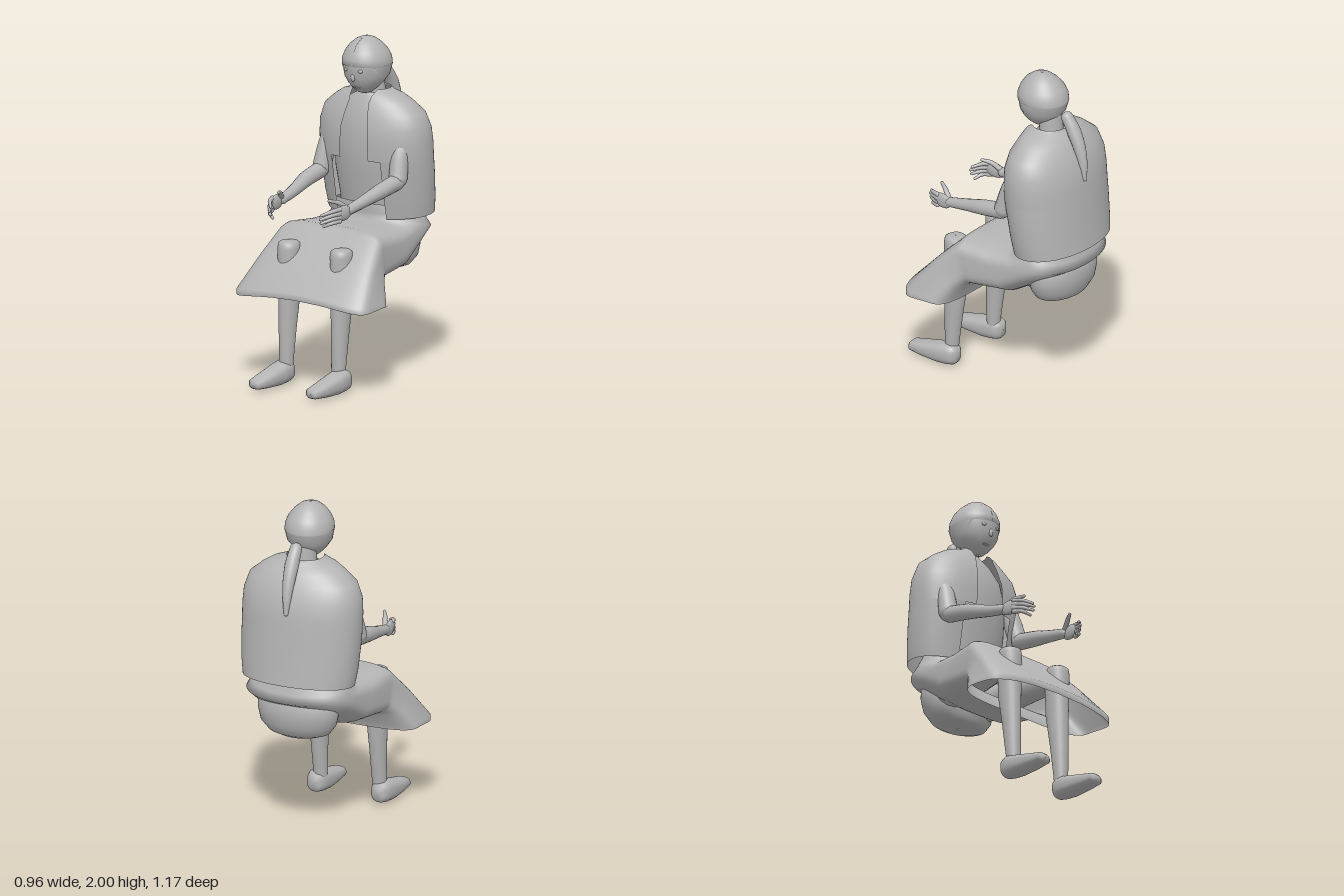
import * as THREE from 'three';

const clay = new THREE.MeshStandardMaterial({ color: 0xb4b4b4, side: THREE.DoubleSide });
clay.name = 'plain grey';

function add(parent, name, geometry) {
  const mesh = new THREE.Mesh(geometry, clay);
  mesh.name = name;
  parent.add(mesh);
  return mesh;
}

// Cross-section row: [front z, front y, back z, back y, half width, squareness, front gap]
function loft(rows, seg = 48) {
  const open = rows.some(r => r[6] > 0);
  const cols = open ? seg + 1 : seg;
  const pos = [], idx = [];
  for (const [zf, yf, zb, yb, w, n = 2, gap = 0] of rows) {
    const t0 = open ? Math.asin(Math.min(1, gap / w) ** (n / 2)) : 0;
    for (let j = 0; j < cols; j++) {
      const t = t0 + (2 * Math.PI - 2 * t0) * j / seg;
      const bend = v => Math.sign(v) * Math.abs(v) ** (2 / n);
      const s = bend(Math.sin(t)), c = bend(Math.cos(t));
      pos.push(w * s, (yf + yb) / 2 + (yf - yb) / 2 * c, (zf + zb) / 2 + (zf - zb) / 2 * c);
    }
  }
  for (let i = 0; i < rows.length - 1; i++) {
    for (let j = 0; j < seg; j++) {
      const k = (j + 1) % cols, a = i * cols, b = a + cols;
      idx.push(a + j, a + k, b + j, a + k, b + k, b + j);
    }
  }
  const g = new THREE.BufferGeometry();
  g.setAttribute('position', new THREE.Float32BufferAttribute(pos, 3));
  g.setIndex(idx);
  g.computeVertexNormals();
  return g;
}

// Rows for level sections: [y, front z, back z, half width, squareness, gap]
const level = rows => rows.map(([y, zf, zb, ...rest]) => [zf, y, zb, y, ...rest]);

// Tapered tube with rounded ends
function limb(parent, name, points, radii, seg = 14) {
  const group = new THREE.Group();
  group.name = name;
  const curve = new THREE.CatmullRomCurve3(points.map(p => new THREE.Vector3(...p)));
  const g = new THREE.TubeGeometry(curve, seg, 1, 16);
  const p = g.attributes.position, v = new THREE.Vector3();
  const last = radii.length - 1;
  for (let i = 0; i < p.count; i++) {
    const t = Math.floor(i / 17) / seg;
    const k = Math.min(Math.floor(t * last), last - 1);
    const r = THREE.MathUtils.lerp(radii[k], radii[k + 1], t * last - k);
    const c = curve.getPointAt(t);
    v.fromBufferAttribute(p, i).sub(c).multiplyScalar(r).add(c);
    p.setXYZ(i, v.x, v.y, v.z);
  }
  add(group, name + 'Tube', g);
  [[0, 0], [points.length - 1, last]].forEach(([a, b]) =>
    add(group, name + 'End', new THREE.SphereGeometry(radii[b], 16, 10)).position.set(...points[a]));
  parent.add(group);
}

function ball(parent, name, [x, y, z], [sx, sy, sz]) {
  const m = add(parent, name, new THREE.SphereGeometry(1, 32, 20));
  m.position.set(x, y, z);
  m.scale.set(sx, sy, sz);
  return m;
}

export function createModel() {
  const model = new THREE.Group();
  model.name = 'seatedFigure';

  // Head, hair and face
  const skull = [
    [1.664, -0.19, -0.21, 0.012], [1.672, -0.165, -0.25, 0.04], [1.7, -0.13, -0.29, 0.073],
    [1.73, -0.107, -0.33, 0.1], [1.77, -0.089, -0.362, 0.127], [1.83, -0.08, -0.38, 0.139],
    [1.87, -0.082, -0.375, 0.136], [1.91, -0.097, -0.356, 0.119], [1.95, -0.124, -0.32, 0.088],
    [1.98, -0.164, -0.28, 0.051], [1.993, -0.2, -0.245, 0.02], [1.995, -0.22, -0.222, 0.001]];
  add(model, 'head', loft(level(skull)));
  const hairGaps = [0.1, 0.118, 0.126, 0.125, 0.09];
  const hair = skull.slice(3).map(([y, f, b, w], i) =>
    [y + 0.005, f + 0.005, b - 0.005, w + 0.005, 2, i < 2 ? hairGaps[i + 1] : i === 2 ? 0.11 : 0.0005]);
  hair.splice(3, 0, [1.84, -0.075, -0.384, 0.144, 2, 0.0005]);
  add(model, 'hair', loft(level(hair)));
  for (const s of [-1, 1]) ball(model, 'eye', [s * 0.05, 1.815, -0.096], [0.016, 0.011, 0.01]);
  ball(model, 'nose', [0, 1.772, -0.091], [0.014, 0.024, 0.011]);
  ball(model, 'mouth', [0, 1.708, -0.13], [0.03, 0.006, 0.01]);
  limb(model, 'ponytail', [[0, 1.765, -0.41], [0, 1.71, -0.448], [0, 1.61, -0.497], [0, 1.5, -0.528], [0, 1.405, -0.538]],
    [0.036, 0.042, 0.036, 0.026, 0.014], 24);

  // Neck, shirt and open jacket
  add(model, 'neck', new THREE.CylinderGeometry(0.062, 0.075, 0.2, 32)).position.set(0, 1.69, -0.29);
  add(model, 'shirt', loft(level([
    [0.9, -0.19, -0.5, 0.25], [1.02, -0.18, -0.5, 0.25], [1.2, -0.145, -0.5, 0.27],
    [1.4, -0.13, -0.49, 0.27], [1.54, -0.16, -0.45, 0.24], [1.62, -0.19, -0.4, 0.16], [1.665, -0.22, -0.36, 0.075]])));
  const jacket = level([
    [1.05, -0.135, -0.576, 0.36, 2.1, 0.175], [1.2, -0.11, -0.562, 0.369, 2.1, 0.175],
    [1.284, -0.095, -0.554, 0.371, 2.1, 0.175], [1.287, -0.095, -0.554, 0.371, 2.1, 0.1],
    [1.38, -0.092, -0.545, 0.372, 2.1, 0.1], [1.47, -0.095, -0.53, 0.366, 2.1, 0.095],
    [1.56, -0.12, -0.493, 0.335, 2.1, 0.08], [1.62, -0.143, -0.453, 0.262, 2, 0.07],
    [1.655, -0.16, -0.42, 0.205, 2, 0.075], [1.675, -0.17, -0.39, 0.14, 2, 0.08],
    [1.69, -0.18, -0.39, 0.11, 2, 0.085]]);
  jacket.unshift([-0.155, 0.935, -0.585, 0.972, 0.345, 2.1, 0.175]);
  add(model, 'jacket', loft(jacket, 64));

  // Seat and skirt, draped from hem to waist
  add(model, 'seat', loft(level([
    [0.612, -0.37, -0.375, 0.002], [0.612, -0.26, -0.45, 0.13], [0.635, -0.24, -0.49, 0.19],
    [0.69, -0.23, -0.52, 0.235], [0.76, -0.22, -0.533, 0.25], [0.83, -0.22, -0.53, 0.25], [0.9, -0.2, -0.5, 0.22]])));
  const skirt = loft([
    [0.475, 0.55, 0.14, 0.52, 0.478, 4.5], [0.48, 0.588, 0.137, 0.535, 0.476, 4.5],
    [0.3, 0.765, 0.1, 0.612, 0.415, 4.5], [0.145, 0.915, 0.075, 0.628, 0.375, 4.5],
    [0.11, 0.933, 0.05, 0.632, 0.365, 4.5], [-0.03, 0.927, -0.22, 0.655, 0.345, 3.5],
    [-0.15, 0.922, -0.4, 0.765, 0.33, 2.8], [-0.17, 0.935, -0.55, 0.85, 0.325, 2.3],
    [-0.165, 0.97, -0.535, 0.9, 0.3, 2.2], [-0.165, 1.02, -0.515, 0.97, 0.275, 2]], 64);
  // Dip of cloth along the front hem between the knees
  const p = skirt.attributes.position;
  for (let i = 0; i < p.count; i++) {
    const x = p.getX(i), z = p.getZ(i);
    if (z > 0.25) p.setY(i, p.getY(i) - 0.04 * Math.min(1, (x / 0.45) ** 2) * (z - 0.25) / 0.23);
  }
  skirt.computeVertexNormals();
  add(model, 'skirt', skirt);

  // Arms, hands, legs and feet, mirrored
  for (const s of [-1, 1]) {
    const side = new THREE.Group();
    side.name = s > 0 ? 'leftLimbs' : 'rightLimbs';
    model.add(side);
    const m = ([x, y, z]) => [s * x, y, z];
    const part = (name, pts, radii) => limb(side, name, pts.map(m), radii);

    part('sleeve', [[0.25, 1.45, -0.26], [0.262, 1.34, -0.2], [0.276, 1.2, -0.16]], [0.055, 0.053, 0.056]);
    part('forearm', [[0.276, 1.178, -0.14], [0.27, 1.15, 0], [0.25, 1.11, 0.15], [0.24, 1.082, 0.27]],
      [0.049, 0.046, 0.036, 0.029]);
    ball(side, 'palm', m([0.243, 1.076, 0.325]), [0.02, 0.045, 0.068]).rotation.y = -s * 0.1;
    part('thumb', [[0.235, 1.1, 0.285], [0.212, 1.135, 0.33], [0.183, 1.15, 0.38]], [0.016, 0.014, 0.009]);
    for (let f = 0; f < 4; f++) {
      const y = 1.105 - f * 0.023, reach = [0.455, 0.467, 0.46, 0.435][f];
      part('finger', [[0.246, y, 0.36], [0.225, y - 0.008, 0.41], [0.185, y - 0.028, reach]], [0.014, 0.012, 0.008]);
    }

    part('thigh', [[0.13, 0.77, -0.3], [0.16, 0.775, 0], [0.185, 0.765, 0.26]], [0.1, 0.09, 0.065]);
    const leg = add(side, 'lowerLeg', loft(level([
      [0.1, 0.335, 0.258, 0.04], [0.145, 0.34, 0.255, 0.043], [0.35, 0.341, 0.225, 0.051],
      [0.55, 0.341, 0.192, 0.06], [0.72, 0.341, 0.19, 0.066], [0.8, 0.341, 0.2, 0.067],
      [0.832, 0.334, 0.208, 0.063], [0.842, 0.318, 0.222, 0.05], [0.844, 0.271, 0.27, 0.001]]), 32));
    leg.position.x = s * 0.19;

    const foot = [
      [0.588, 0.04, 0.038, 0.001], [0.586, 0.058, 0.018, 0.03], [0.57, 0.073, 0.01, 0.05],
      [0.48, 0.095, 0.003, 0.06], [0.37, 0.123, 0, 0.067], [0.3, 0.14, 0.006, 0.064],
      [0.26, 0.13, 0.014, 0.052], [0.244, 0.11, 0.03, 0.033], [0.24, 0.075, 0.07, 0.001]];
    add(side, 'foot', loft(foot.map(([z, top, low, w]) => [z, top, z, low, w, 2.5]), 32)).position.x = s * 0.207;
  }
  return model;
}
